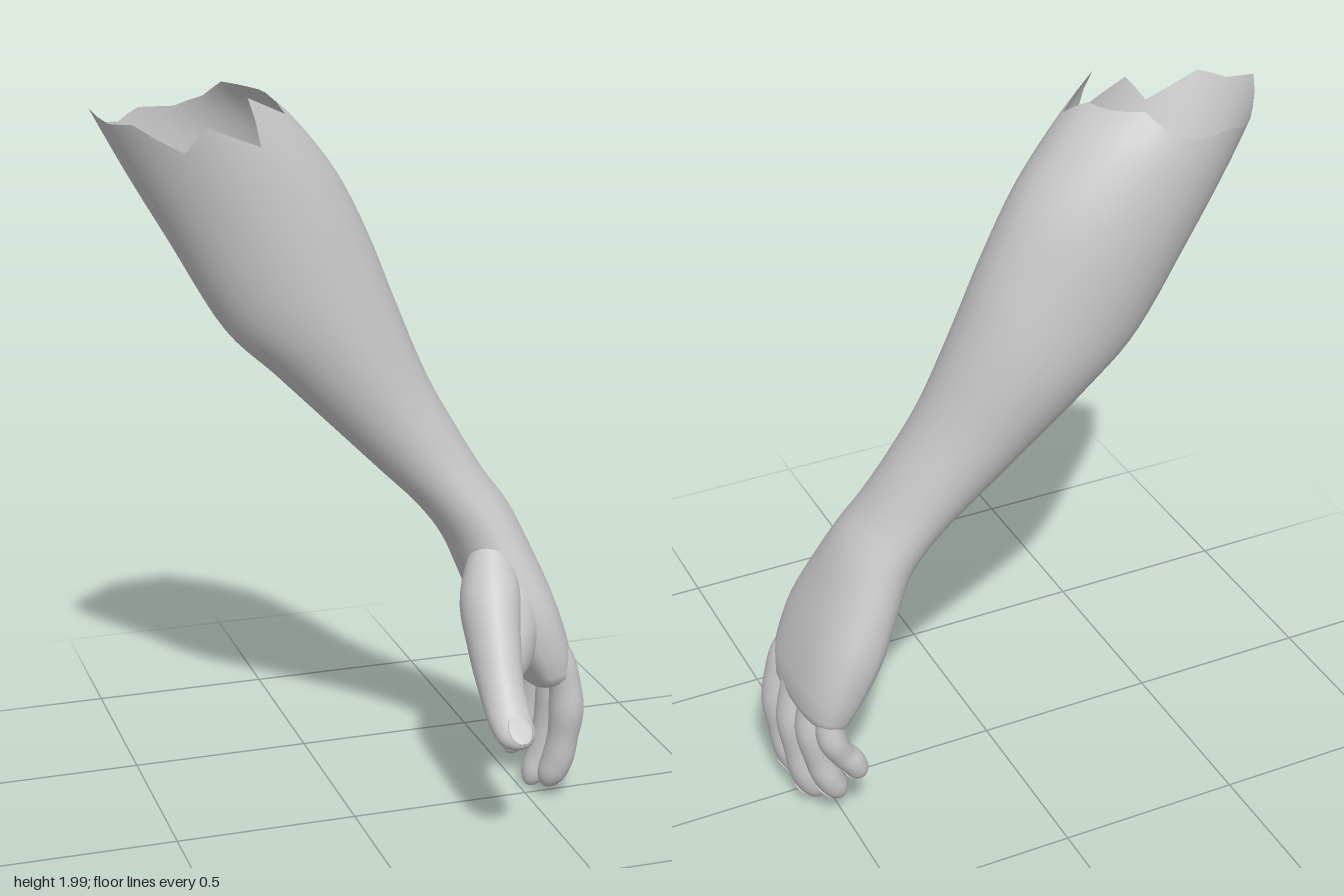
import * as THREE from 'three';

const skin = new THREE.MeshStandardMaterial({ color: 0xc8c8c8, side: THREE.DoubleSide });
skin.name = 'pale grey skin';

const SIDES = 32;
const V = (x, y, z) => new THREE.Vector3(x, y, z);
const curve = (pts) => new THREE.CatmullRomCurve3(pts.map((p) => V(p[0], p[1], p[2] || 0)), false, 'catmullrom', 0.5);
const ringOf = (fn) => Array.from({ length: SIDES }, (_, j) => fn((j / SIDES) * Math.PI * 2, j));

// Smooth skin through a list of equal rings of points
function loft(name, rings) {
  const index = [];
  for (let i = 0; i < rings.length - 1; i++) {
    for (let j = 0; j < SIDES; j++) {
      const a = i * SIDES + j, b = i * SIDES + ((j + 1) % SIDES);
      index.push(a, b, a + SIDES, b, b + SIDES, a + SIDES);
    }
  }
  const geo = new THREE.BufferGeometry();
  geo.setAttribute('position', new THREE.Float32BufferAttribute(rings.flat().flatMap((p) => [p.x, p.y, p.z]), 3));
  geo.setIndex(index);
  geo.computeVertexNormals();
  const mesh = new THREE.Mesh(geo, skin);
  mesh.name = name;
  return mesh;
}

// Forearm and palm: inner edge x, y, outer edge x, y, back z, front z
const ARM = [
  [-0.645, 1.975, -0.2, 1.995, -0.36, 0.015],
  [-0.55, 1.8, -0.105, 1.91, -0.378, 0.005],
  [-0.44, 1.61, 0.005, 1.77, -0.385, 0.0],
  [-0.3, 1.37, 0.09, 1.6, -0.375, 0.0],
  [-0.16, 1.23, 0.16, 1.42, -0.355, 0.0],
  [0.0, 1.07, 0.24, 1.22, -0.305, 0.0],
  [0.12, 0.95, 0.32, 1.07, -0.27, 0.01],
  [0.21, 0.86, 0.39, 0.95, -0.25, 0.03],
  [0.28, 0.765, 0.46, 0.85, -0.245, 0.055],
  [0.33, 0.66, 0.52, 0.72, -0.262, 0.095],
  [0.38, 0.55, 0.567, 0.6, -0.274, 0.125],
  [0.435, 0.45, 0.605, 0.47, -0.265, 0.128],
  [0.48, 0.375, 0.612, 0.4, -0.25, 0.118],
];
// How far down the arm the torn rim starts, around from the outer edge
const TORN = [0.015, 0.06, 0, 0.085, 0.035, 0.065, 0.02, 0.02, 0.005, 0.03, 0.04, 0.03, 0.04, 0.03, 0, 0.01];

function forearm() {
  const inner = curve(ARM.map((s) => [s[0], s[1]]));
  const outer = curve(ARM.map((s) => [s[2], s[3]]));
  const depth = curve(ARM.map((s) => [s[4], s[5]]));
  const skinPoint = (t, a) => {
    const L = inner.getPoint(t), R = outer.getPoint(t), d = depth.getPoint(t);
    const power = THREE.MathUtils.lerp(1, 0.75, THREE.MathUtils.smoothstep(t, 0.65, 0.9)); // squarer palm
    const round = (v) => Math.sign(v) * Math.pow(Math.abs(v), power);
    const p = L.lerp(R, 0.5 + 0.5 * round(Math.cos(a)));
    p.z = (d.x + d.y) / 2 + ((d.y - d.x) / 2) * round(Math.sin(a));
    return p;
  };
  const rings = [];
  const steps = 60;
  for (let i = 0; i <= steps; i++) {
    const t = i / steps;
    rings.push(ringOf((a, j) => {
      const k = j / 2, k0 = Math.floor(k);
      const start = THREE.MathUtils.lerp(TORN[k0], TORN[(k0 + 1) % TORN.length], k - k0);
      return skinPoint(start + (1 - start) * t, a);
    }));
  }
  // Rounded end of the palm between the fingers
  const last = rings[steps];
  const centre = last.reduce((s, p) => s.add(p), V(0, 0, 0)).divideScalar(SIDES);
  for (const [inset, drop] of [[0.07, 0.016], [0.2, 0.03], [0.5, 0.04], [1, 0.042]]) {
    rings.push(last.map((p) => p.clone().lerp(centre, inset).add(V(0, -drop, 0))));
  }
  return loft('forearmAndPalm', rings);
}

// Finger or thumb: path points, [width, thickness] radii, sideways axis; adds a nail
function digit(name, path, radii, side, nailSize) {
  const spine = curve(path), size = curve(radii);
  const frame = (t) => {
    const tangent = spine.getTangent(t);
    const up = tangent.clone().cross(side).normalize();
    return { c: spine.getPoint(t), tangent, up, r: size.getPoint(t) };
  };
  const rings = [];
  const steps = 40;
  for (let i = 0; i <= steps; i++) {
    const t = Math.sin((i / steps) * Math.PI / 2); // closer rings at the tip
    const { c, up, r } = frame(t);
    const q = Math.max(0, (t - 0.9) / 0.1);
    const tip = Math.sqrt(Math.max(0, 1 - q * q));
    rings.push(ringOf((a) => c.clone()
      .addScaledVector(side, Math.cos(a) * r.x * tip)
      .addScaledVector(up, Math.sin(a) * r.y * tip)));
  }
  const group = new THREE.Group();
  group.name = name;
  group.add(loft(name + 'Flesh', rings));

  const f = frame(0.92);
  const nail = new THREE.Mesh(new THREE.SphereGeometry(1, 16, 8), skin);
  nail.name = name + 'Nail';
  nail.scale.set(nailSize * 0.75, nailSize, 0.004);
  const out = f.up.clone().addScaledVector(f.tangent, 0.25).normalize();
  const along = out.clone().cross(side).normalize();
  nail.quaternion.setFromRotationMatrix(new THREE.Matrix4().makeBasis(side, along, out));
  nail.position.copy(f.c).addScaledVector(f.up, f.r.y * 0.94);
  group.add(nail);
  return group;
}

// Web of skin from thumb to palm: height, thumb x, z, palm x, z, half thickness
const WEB = [
  [0.76, 0.39, 0.01, 0.42, 0.0, 0.005],
  [0.67, 0.355, 0.08, 0.47, 0.03, 0.05],
  [0.58, 0.345, 0.14, 0.49, 0.05, 0.055],
  [0.5, 0.345, 0.19, 0.48, 0.06, 0.045],
  [0.44, 0.352, 0.2, 0.465, 0.07, 0.03],
  [0.41, 0.365, 0.17, 0.45, 0.09, 0.002],
];

function thumbWeb() {
  const thumbEdge = curve(WEB.map((w) => [w[1], w[0], w[2]]));
  const palmEdge = curve(WEB.map((w) => [w[3], w[0], w[4]]));
  const thick = curve(WEB.map((w, i) => [w[5], i]));
  const rings = [];
  for (let i = 0; i <= 20; i++) {
    const A = thumbEdge.getPoint(i / 20), B = palmEdge.getPoint(i / 20);
    const half = B.clone().sub(A).multiplyScalar(0.5);
    const across = V(-half.z, 0, half.x).normalize().multiplyScalar(thick.getPoint(i / 20).x);
    const mid = A.lerp(B, 0.5);
    rings.push(ringOf((a) => mid.clone().addScaledVector(half, Math.cos(a)).addScaledVector(across, Math.sin(a))));
  }
  return loft('thumbWeb', rings);
}

export function createModel() {
  const arm = new THREE.Group();
  arm.name = 'arm';
  arm.add(forearm(), thumbWeb());

  // Fingers with swollen joints, rooted inside the palm
  const fingers = [
    ['indexFinger', 1.03, [[0.51, 0.54, 0.06], [0.557, 0.44, 0.064], [0.582, 0.36, 0.066], [0.59, 0.28, 0.065], [0.586, 0.2, 0.058], [0.575, 0.12, 0.046], [0.548, 0.035, 0.03]]],
    ['middleFinger', 1.0, [[0.51, 0.54, -0.03], [0.555, 0.44, -0.03], [0.58, 0.36, -0.031], [0.588, 0.28, -0.034], [0.58, 0.19, -0.04], [0.565, 0.1, -0.045], [0.525, 0.008, -0.045]]],
    ['ringFinger', 0.96, [[0.5, 0.54, -0.115], [0.545, 0.45, -0.12], [0.567, 0.37, -0.123], [0.572, 0.3, -0.126], [0.56, 0.22, -0.132], [0.54, 0.15, -0.137], [0.5, 0.068, -0.14]]],
    ['littleFinger', 0.85, [[0.49, 0.54, -0.195], [0.53, 0.46, -0.202], [0.552, 0.39, -0.208], [0.55, 0.33, -0.213], [0.525, 0.275, -0.213], [0.495, 0.235, -0.212], [0.47, 0.18, -0.21]]],
  ];
  const fingerRadii = [[0.025, 0.02], [0.046, 0.043], [0.048, 0.042], [0.053, 0.046], [0.046, 0.041], [0.047, 0.041], [0.036, 0.033]];
  for (const [name, s, path] of fingers) {
    arm.add(digit(name, path, fingerRadii.map(([w, h]) => [w * s, h * s]), V(0, 0, -1), 0.032 * s));
  }

  // Thumb with its broad fleshy base
  arm.add(digit('thumb',
    [[0.385, 0.81, -0.03], [0.36, 0.655, 0.06], [0.342, 0.54, 0.15], [0.332, 0.44, 0.24], [0.332, 0.375, 0.315], [0.336, 0.335, 0.385]],
    [[0.03, 0.03], [0.08, 0.09], [0.071, 0.085], [0.06, 0.066], [0.057, 0.049], [0.045, 0.032]],
    V(1, 0, 0), 0.044));

  return arm;
}
